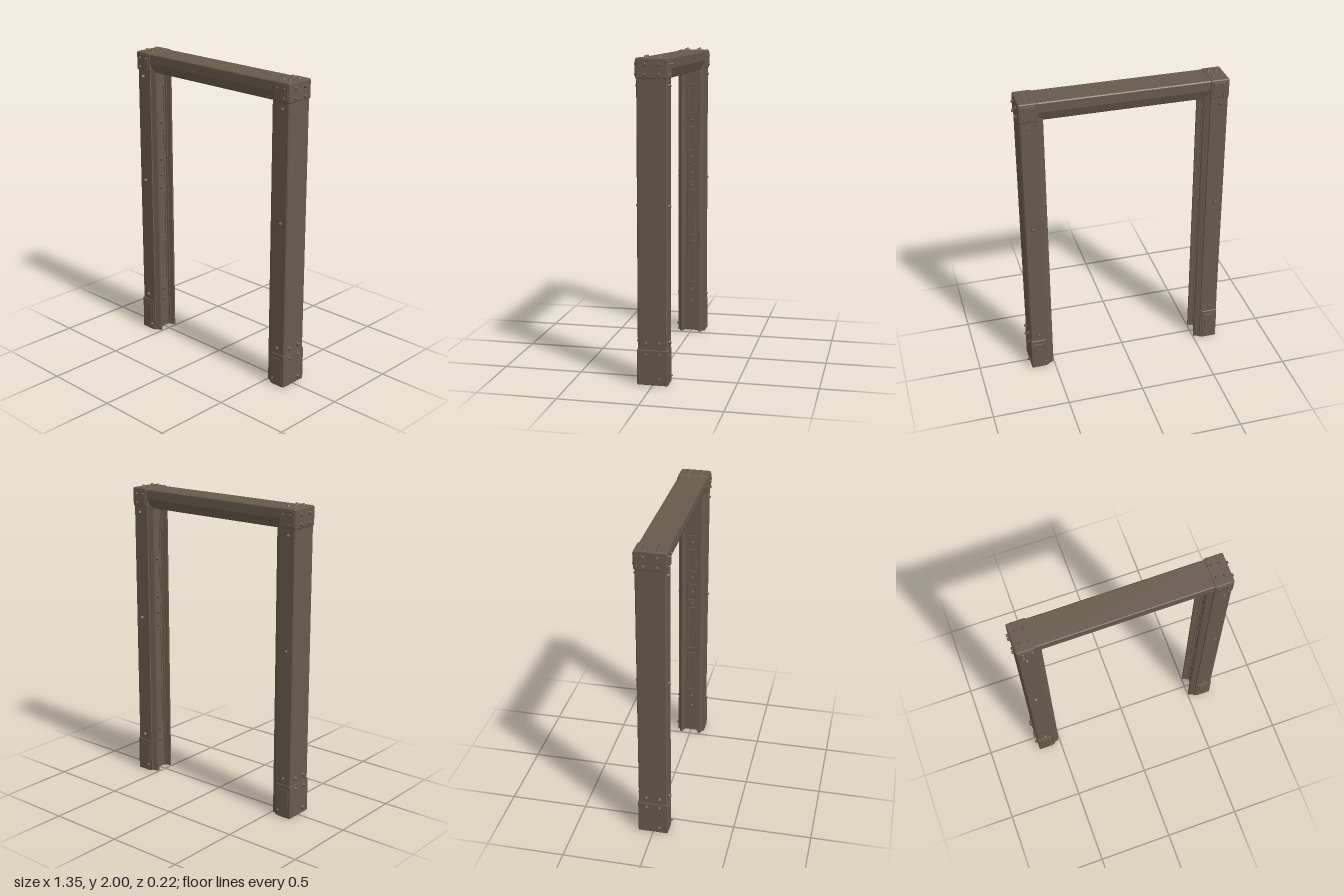
import * as THREE from 'three';
import { RoundedBoxGeometry } from 'three/addons/geometries/RoundedBoxGeometry.js';

const metal = new THREE.MeshStandardMaterial({ color: 0x665a4b });
metal.name = 'weathered brown metal';

function add(parent, name, geometry, x = 0, y = 0, z = 0) {
  const mesh = new THREE.Mesh(geometry, metal);
  mesh.name = name;
  mesh.position.set(x, y, z);
  parent.add(mesh);
  return mesh;
}

// box given by its limits, with softened edges
function block(parent, name, [x0, x1], [y0, y1], [z0, z1], r = 0.006) {
  return add(parent, name, new RoundedBoxGeometry(x1 - x0, y1 - y0, z1 - z0, 1, r),
    (x0 + x1) / 2, (y0 + y1) / 2, (z0 + z1) / 2);
}

// channel section: flat back at `outer`, set-back lips at `inner`, groove between the lips
function channel(outer, shoulder, floor, inner, step, length) {
  const half = [[outer, 0.086], [outer - 0.006, 0.092], [shoulder, 0.092],
    [shoulder - 0.002, 0.092 - step], [inner + 0.004, 0.071], [inner, 0.067],
    [inner, 0.056], [floor - 0.012, 0.05], [floor - 0.012, 0.044], [floor, 0.042]];
  const points = [...half, ...half.map(([u, v]) => [u, -v]).reverse()];
  const shape = new THREE.Shape(points.map(p => new THREE.Vector2(...p)));
  return new THREE.ExtrudeGeometry(shape, { depth: length, bevelEnabled: false });
}

// tapered bolt pointing along a direction
function bolt(parent, position, direction, size = 1) {
  const mesh = add(parent, 'bolt', new THREE.CylinderGeometry(0.007 * size, 0.016 * size, 0.022 * size, 7), ...position);
  const dir = new THREE.Vector3(...direction);
  mesh.quaternion.setFromUnitVectors(new THREE.Vector3(0, 1, 0), dir);
  mesh.position.addScaledVector(dir, 0.006 * size);
}

function createPost(name) {
  const post = new THREE.Group();
  post.name = name;
  const body = channel(0.655, 0.542, 0.547, 0.505, 0.008, 1.97);
  body.rotateX(-Math.PI / 2);
  add(post, 'postChannel', body, 0, 0.01, 0);

  // corner cap and foot wrap
  block(post, 'cornerCap', [0.537, 0.659], [1.864, 1.988], [-0.099, 0.099], 0.01);
  block(post, 'footWrap', [0.553, 0.658], [0.006, 0.23], [-0.097, 0.097]);
  for (const s of [-1, 1]) {
    block(post, 'footPanel', [0.57, 0.64], [0.04, 0.2], [s * 0.097 - 0.003, s * 0.097 + 0.003], 0.002);
    block(post, 'capPanel', [0.555, 0.645], [1.88, 1.972], [s * 0.099 - 0.003, s * 0.099 + 0.003], 0.002);
  }

  // raised panel frames and studs on the groove floor
  for (const [y0, y1] of [[0.36, 0.66], [0.7, 1.02], [1.08, 1.2], [1.3, 1.46], [1.56, 1.76]]) {
    for (const z of [-0.028, 0.028])
      block(post, 'panelRail', [0.541, 0.549], [y0, y1], [z - 0.003, z + 0.003], 0.002);
    for (const y of [y0, y1])
      block(post, 'panelRail', [0.541, 0.549], [y - 0.003, y + 0.003], [-0.031, 0.031], 0.002);
  }
  for (const y of [0.22, 0.3, 1.05, 1.14, 1.25, 1.51])
    bolt(post, [0.547, y, 0], [-1, 0, 0], 0.9);

  // bolts on the outside, the top and the two faces
  for (const s of [-1, 1]) {
    for (const y of [0.2, 0.27, 1.89, 1.95]) bolt(post, [0.657, y, s * 0.042], [1, 0, 0]);
    for (const x of [0.567, 0.617]) bolt(post, [x, 1.986, s * 0.042], [0, 1, 0], 0.9);
    for (const [x, y] of [[0.567, 1.95], [0.622, 1.95], [0.622, 1.89]])
      bolt(post, [x, y, s * 0.099], [0, 0, s], 0.7);
    for (const [x, y] of [[0.605, 1.825], [0.605, 1.11], [0.6, 0.27]])
      bolt(post, [x, y, s * 0.092], [0, 0, s], 0.9);
    bolt(post, [0.567, 0.05, s * 0.097], [0, 0, s], 0.7);
  }
  bolt(post, [0.657, 0.045, -0.04], [1, 0, 0]);
  return post;
}

export function createModel() {
  const frame = new THREE.Group();
  frame.name = 'doorFrame';

  const left = createPost('leftPost');
  const right = createPost('rightPost');
  right.rotation.y = Math.PI;
  frame.add(left, right);

  // top beam: same channel laid across, opening downwards
  const beam = channel(1.984, 1.92, 1.9, 1.86, 0.001, 1.1);
  beam.applyMatrix4(new THREE.Matrix4().makeBasis(
    new THREE.Vector3(0, 1, 0), new THREE.Vector3(0, 0, 1), new THREE.Vector3(1, 0, 0)));
  add(frame, 'topBeam', beam, -0.55, 0, 0);
  return frame;
}
